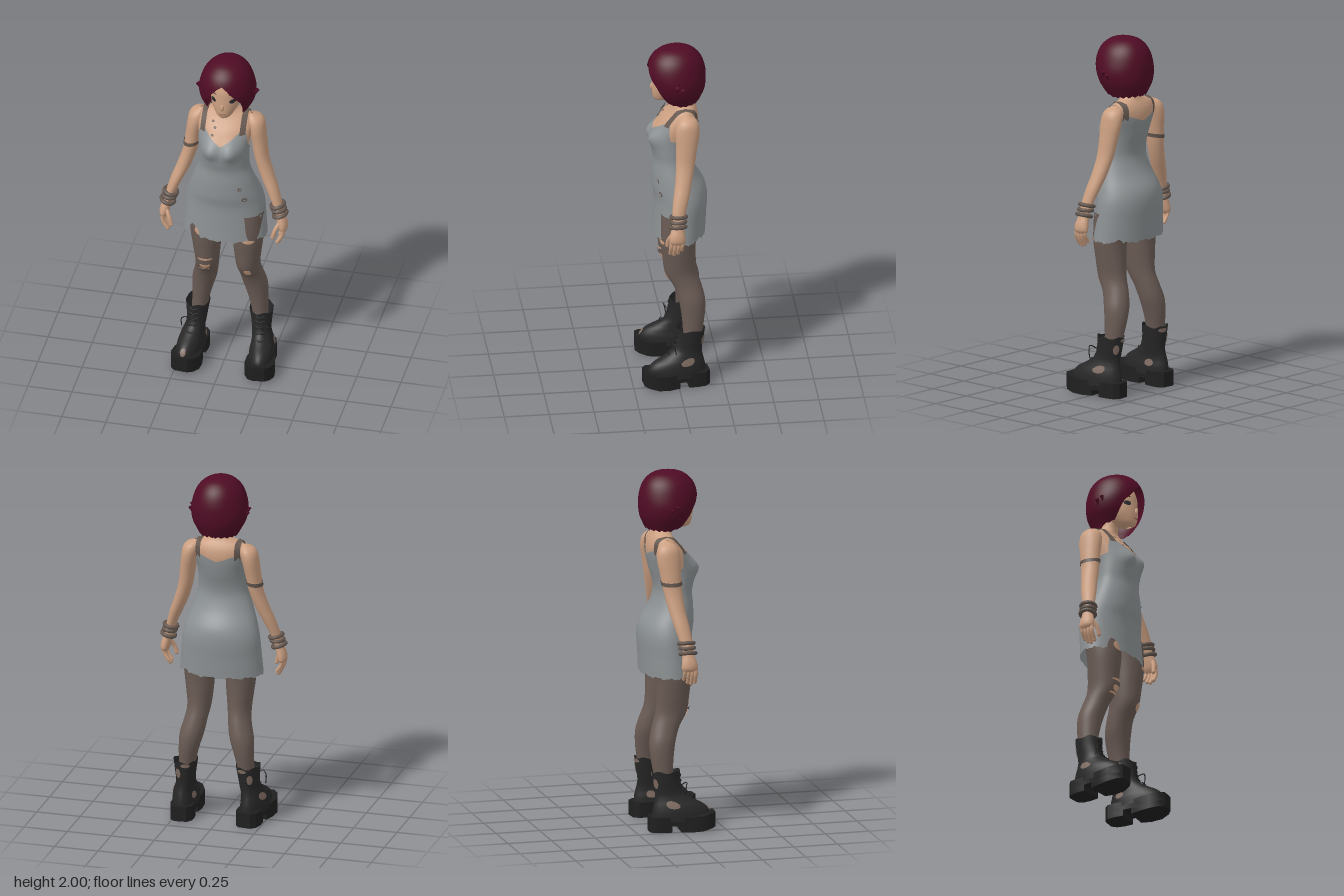
import * as THREE from 'three';
import { mergeVertices, toCreasedNormals } from 'three/addons/utils/BufferGeometryUtils.js';

const mat = (name, color, double) => {
  const m = new THREE.MeshStandardMaterial({ color });
  m.name = name;
  if (double) m.side = THREE.DoubleSide;
  return m;
};
const { PI, sin, cos, abs, max, sqrt, exp } = Math;
const rad = PI / 180;

// Smooth lookup in rows of [y, centreX, halfWidth, zFront, zBack], listed top down
function rowAt(rows, y) {
  const n = rows.length;
  if (y >= rows[0][0]) return rows[0];
  if (y <= rows[n - 1][0]) return rows[n - 1];
  let i = 0;
  while (y < rows[i + 1][0]) i++;
  const slope = (k, c) => {
    const a = rows[max(k - 1, 0)], b = rows[Math.min(k + 1, n - 1)];
    return (b[c] - a[c]) / (b[0] - a[0]);
  };
  const a = rows[i], b = rows[i + 1], d = b[0] - a[0], t = (y - a[0]) / d;
  return a.map((v, c) => c === 0 ? y :
    v * (1 + 2 * t) * (1 - t) ** 2 + b[c] * t * t * (3 - 2 * t) +
    d * (slope(i, c) * t * (1 - t) ** 2 - slope(i + 1, c) * t * t * (1 - t)));
}

// Straight-line lookup in [angle, value] pairs
function lerpTable(table, a) {
  for (let i = 1; i < table.length; i++) {
    const [a0, v0] = table[i - 1], [a1, v1] = table[i];
    if (a <= a1) return v0 + (v1 - v0) * (a - a0) / (a1 - a0);
  }
  return table[table.length - 1][1];
}

// Skin of elliptical rings; top and bottom edges may vary with the angle (0 = front, + = left)
function loft(rows, o = {}) {
  const { top = () => rows[0][0], bottom = () => rows[rows.length - 1][0],
    from = -PI, to = PI, segs = 40, steps = 32, grow = 0, ease = 1, warp } = o;
  const pos = [], idx = [];
  for (let j = 0; j <= steps; j++) for (let i = 0; i <= segs; i++) {
    const th = from + (to - from) * i / segs, y0 = top(th);
    const y = y0 + (bottom(th) - y0) * (j / steps) ** ease;
    const [, cx, rx, zf, zb] = rowAt(rows, y);
    const p = [cx + (rx + grow) * sin(th), y, (zf + zb) / 2 + ((zf - zb) / 2 + grow) * cos(th)];
    if (warp) warp(p);
    pos.push(...p);
    if (i < segs && j < steps) {
      const a = j * (segs + 1) + i, c = a + segs + 1;
      idx.push(a, c, a + 1, a + 1, c, c + 1);
    }
  }
  let g = new THREE.BufferGeometry();
  g.setAttribute('position', new THREE.Float32BufferAttribute(pos, 3));
  g.setIndex(idx);
  g = mergeVertices(g, 1e-5);
  g.computeVertexNormals();
  return g;
}

// Small oval lying on a lofted surface
function patch(rows, y, h, deg, w, o = {}) {
  const c = deg * rad, hw = w * rad;
  const half = th => h * sqrt(max(0, 1 - ((th - c) / hw) ** 2));
  return loft(rows, { grow: 0.004, segs: 10, steps: 4, ...o, from: c - hw, to: c + hw,
    top: th => y + half(th), bottom: th => y - half(th) });
}

const TRUNK = [
  [1.75, 0.012, 0.045, 0.03, -0.07], [1.69, 0.008, 0.046, 0.005, -0.09], [1.665, 0.004, 0.056, 0, -0.1],
  [1.65, 0, 0.085, 0, -0.105], [1.635, 0, 0.125, 0.005, -0.115], [1.6, 0, 0.158, 0.03, -0.13],
  [1.55, 0, 0.155, 0.075, -0.135], [1.46, 0, 0.138, 0.122, -0.118], [1.38, 0, 0.136, 0.12, -0.095],
  [1.32, 0, 0.14, 0.11, -0.09], [1.24, 0, 0.165, 0.115, -0.115], [1.15, 0, 0.195, 0.115, -0.165],
  [1.08, 0, 0.212, 0.105, -0.178], [0.97, 0, 0.222, 0.108, -0.172], [0.85, 0, 0.232, 0.115, -0.165]];
const HEAD = [
  [1.96, 0.015, 0.02, 0, -0.05], [1.92, 0.015, 0.075, 0.08, -0.1], [1.86, 0.015, 0.092, 0.112, -0.11],
  [1.8, 0.015, 0.089, 0.12, -0.1], [1.75, 0.015, 0.077, 0.123, -0.07], [1.71, 0.015, 0.056, 0.121, -0.03],
  [1.685, 0.015, 0.035, 0.112, 0.02], [1.672, 0.015, 0.006, 0.09, 0.06]];
const HAIR = [
  [2, 0.015, 0.002, -0.015, -0.02], [1.992, 0.015, 0.05, 0.045, -0.075], [1.97, 0.015, 0.092, 0.092, -0.118],
  [1.93, 0.015, 0.127, 0.13, -0.152], [1.87, 0.015, 0.15, 0.15, -0.172], [1.81, 0.015, 0.159, 0.145, -0.176],
  [1.75, 0.015, 0.148, 0.125, -0.17], [1.7, 0.015, 0.122, 0.095, -0.15], [1.66, 0.015, 0.1, 0.065, -0.13]];
const armRows = s => [
  [1.632, 0.14, 0.008, -0.045, -0.065], [1.618, 0.152, 0.035, -0.02, -0.1], [1.59, 0.163, 0.048, 0, -0.12],
  [1.54, 0.174, 0.047, 0.01, -0.125], [1.46, 0.187, 0.043, 0.008, -0.112], [1.36, 0.203, 0.04, 0.01, -0.095],
  [1.26, 0.235, 0.039, 0.018, -0.075], [1.18, 0.268, 0.035, 0.032, -0.055], [1.1, 0.298, 0.028, 0.042, -0.032],
  [1.03, 0.318, 0.024, 0.045, -0.02], [0.98, 0.332, 0.028, 0.06, -0.026], [0.94, 0.338, 0.022, 0.06, -0.026],
  [0.925, 0.335, 0.006, 0.04, -0.006]].map(([y, x, ...r]) => [y, s * x, ...r]);
const legRows = s => [
  [1.02, 0.11, 0.1, 0.085, -0.14], [0.86, 0.118, 0.087, 0.088, -0.11], [0.75, 0.116, 0.076, 0.077, -0.108],
  [0.65, 0.116, 0.065, 0.062, -0.115], [0.58, 0.126, 0.064, 0.02, -0.137], [0.5, 0.143, 0.067, -0.008, -0.156],
  [0.42, 0.157, 0.057, -0.022, -0.155], [0.33, 0.168, 0.046, -0.03, -0.142], [0.24, 0.175, 0.04, -0.03, -0.13],
].map(([y, x, ...r]) => [y, s * x + 0.013, ...r]);
const bootRows = s => [
  [0.345, -0.014, 0.068, 0.004, -0.155], [0.27, -0.012, 0.058, 0.008, -0.145], [0.21, -0.01, 0.053, 0.03, -0.136],
  [0.175, -0.004, 0.056, 0.08, -0.138], [0.145, 0, 0.063, 0.135, -0.145], [0.11, 0, 0.07, 0.165, -0.152],
  [0.06, 0, 0.071, 0.172, -0.155]].map(([y, x, ...r]) => [y, s * x, ...r]);

// Bust fullness shared by skin and dress
function bust(p) {
  if (p[2] > 0) p[2] += 0.028 * exp(-(((abs(p[0]) - 0.062) / 0.045) ** 2) - ((p[1] - 1.455) / 0.05) ** 2);
}

// Half outline of the boot sole: [half width, z]
const SOLE = [[0.035, -0.172], [0.06, -0.145], [0.067, -0.1], [0.064, -0.05], [0.066, 0], [0.08, 0.06],
  [0.082, 0.12], [0.062, 0.172], [0.035, 0.195]];
function soleSlab(z0, z1, y0, y1) {
  const half = SOLE.filter(p => p[1] >= z0 && p[1] <= z1);
  const pts = [...half.map(([x, z]) => new THREE.Vector2(-x, -z)),
    ...half.reverse().map(([x, z]) => new THREE.Vector2(x, -z))];
  const g = new THREE.ExtrudeGeometry(new THREE.Shape(pts), { depth: y1 - y0, bevelEnabled: false });
  g.rotateX(-PI / 2).translate(0, y0, 0);
  const p = g.attributes.position;
  for (let i = 0; i < p.count; i++) // toe spring
    p.setY(i, p.getY(i) + max(0, p.getZ(i) - 0.1) * 0.2);
  return toCreasedNormals(g, 0.5);
}

export function createModel() {
  const M = {
    skin: mat('skin', 0xcb9f81, true), dress: mat('dressGrey', 0x8c9193, true), hair: mat('hairRed', 0x4f0c24, true),
    tights: mat('tights', 0x6a5b55), boot: mat('bootBlack', 0x272727, true), sole: mat('soleBlack', 0x1f1f20),
    strap: mat('strapBrown', 0x64574f, true), worn: mat('wornBrown', 0x7d6a60, true),
    eye: mat('eyeDark', 0x2b2c30, true), lip: mat('lip', 0xa5735f, true) };
  const model = new THREE.Group();
  const add = (name, g, m, parent = model) => {
    const mesh = new THREE.Mesh(g, m);
    mesh.name = name;
    parent.add(mesh);
    return mesh;
  };
  const tube = (pts, r, seg = 14) =>
    new THREE.TubeGeometry(new THREE.CatmullRomCurve3(pts.map(p => new THREE.Vector3(...p))), seg, r, 8);

  // Head and face
  add('head', loft(HEAD), M.skin);
  const nose = add('nose', new THREE.SphereGeometry(1, 12, 10), M.skin);
  nose.scale.set(0.01, 0.022, 0.014);
  nose.position.set(0.015, 1.758, 0.12);
  for (const s of [-1, 1]) {
    add('eye', patch(HEAD, 1.798, 0.013, s * 37, 13, { grow: 0.003 }), M.eye);
    add('brow', patch(HEAD, 1.838, 0.003, s * 34, 13, { grow: 0.003 }), M.eye);
  }
  add('mouth', patch(HEAD, 1.714, 0.005, 0, 19, { grow: 0.003 }), M.lip);

  // Bob hair, parted in the middle
  const fringe = [[0, 1.908], [12, 1.885], [30, 1.825], [38, 1.8], [47, 1.735], [54, 1.69], [90, 1.672], [180, 1.68]];
  add('hair', loft(HAIR, { segs: 120, steps: 36, ease: 1.8,
    bottom: th => lerpTable(fringe, abs(th) / rad) + 0.005 * sin(th * 20) * sin(th / 2) }), M.hair);
  for (const s of [-1, 1]) for (const [y, z] of [[1.8, 0], [1.785, -0.03]]) {
    const tip = add('hairTip', new THREE.ConeGeometry(0.012, 0.05, 6), M.hair);
    tip.position.set(0.015 + s * 0.156, y, z);
    tip.rotation.z = s * 2.75;
  }

  // Body and dress
  add('neckAndChest', loft(TRUNK, { bottom: () => 1.38, warp: bust }), M.skin);
  const neckline = [[0, 1.49], [20, 1.525], [38, 1.565], [50, 1.565], [75, 1.47], [105, 1.46], [130, 1.56],
    [145, 1.57], [180, 1.535]];
  const hem = th => {
    const d = th / rad, bump = (c, w, h) => h * max(0, 1 - ((d - c) / w) ** 4);
    return 0.866 + 0.004 * sin(th * 13) + 0.003 * sin(th * 31) + bump(-42, 12, 0.062) + bump(50, 7, 0.03) +
      bump(130, 8, 0.02);
  };
  add('dress', loft(TRUNK, { top: th => lerpTable(neckline, abs(th) / rad), bottom: hem, segs: 120, steps: 48,
    grow: 0.006, warp: bust }), M.dress);
  for (const [y, d, h, w] of [[1.21, 36, 0.011, 4], [1.14, 40, 0.014, 5], [1.01, 66, 0.014, 5]]) {
    add('dressHoleRim', patch(TRUNK, y, h, d, w, { grow: 0.009 }), M.strap);
    add('dressHole', patch(TRUNK, y, h * 0.55, d, w * 0.55, { grow: 0.012 }), M.dress);
  }
  for (const [y, d] of [[1.6, -21], [1.575, -15], [1.54, -19]])
    add('chestMark', patch(TRUNK, y, 0.006, d, 3, { grow: 0.003, warp: bust }), M.strap);

  // Shoulder straps follow the trunk from front to back
  const strapYs = [1.54, 1.57, 1.595, 1.612, 1.625, 1.632];
  for (const s of [-1, 1]) {
    const path = [...strapYs.map(y => [y, 1]), [1.641, 0], ...[...strapYs].reverse().map(y => [y, -1])];
    const pos = [], idx = [];
    path.forEach(([y, f], k) => {
      const [, , rx, zf, zb] = rowAt(TRUNK, y);
      for (const x of [0.098, 0.128]) {
        const z = (zf + zb) / 2 + f * ((zf - zb) / 2 + 0.008) * sqrt(max(0, 1 - (x / (rx + 0.008)) ** 2));
        pos.push(s * x, y + 0.006, z);
      }
      if (k) idx.push(2 * k - 2, 2 * k - 1, 2 * k, 2 * k, 2 * k - 1, 2 * k + 1);
    });
    const g = new THREE.BufferGeometry();
    g.setAttribute('position', new THREE.Float32BufferAttribute(pos, 3));
    g.setIndex(idx);
    g.computeVertexNormals();
    add('shoulderStrap', g, M.strap);
  }

  for (const s of [-1, 1]) {
    const side = s > 0 ? 'left' : 'right';

    // Arm, fingers and wristbands
    const arm = armRows(s);
    add(side + 'Arm', loft(arm, { steps: 48, segs: 28 }), M.skin);
    for (let k = 0; k < 4; k++) {
      const z = 0.049 - k * 0.021, len = [0.078, 0.088, 0.08, 0.062][k], r = 0.0115 - k * 0.0007;
      const end = [s * 0.312, 0.945 - len, z + 0.004];
      add(side + 'Finger', tube([[s * 0.338, 0.955, z], [s * 0.338, 0.955 - len * 0.5, z + 0.003], end], r), M.skin);
      add(side + 'Fingertip', new THREE.SphereGeometry(r, 10, 8).translate(...end), M.skin);
    }
    const thumb = [s * 0.288, 0.905, 0.068];
    add(side + 'Thumb', tube([[s * 0.322, 0.99, 0.04], [s * 0.3, 0.945, 0.062], thumb], 0.012), M.skin);
    add(side + 'ThumbTip', new THREE.SphereGeometry(0.012, 10, 8).translate(...thumb), M.skin);
    for (const [y, r, tilt] of [[1.085, 0.036, 0.25], [1.06, 0.034, 0.1], [1.03, 0.037, 0.3]]) {
      const [, x, , zf, zb] = rowAt(arm, y);
      const band = add(side + 'Wristband', new THREE.TorusGeometry(r, 0.011, 8, 28).rotateX(PI / 2), M.strap);
      band.position.set(x, y, (zf + zb) / 2);
      band.rotation.z = s * tilt;
      band.scale.z = 1.12;
    }
    if (s < 0) add('armBand', loft(arm, { top: th => 1.418 + 0.006 * sin(th), bottom: th => 1.396 + 0.006 * sin(th),
      steps: 2, grow: 0.004 }), M.strap);

    // Leg with torn tights
    const leg = legRows(s);
    add(side + 'Leg', loft(leg), M.tights);
    const tears = s < 0 ? [[0.9, 0.03, -5, 26], [0.7, 0.007, 5, 38], [0.655, 0.02, 5, 26], [0.625, 0.006, 0, 30]]
      : [[0.86, 0.012, 15, 22], [0.635, 0.022, 10, 18]];
    for (const [y, h, d, w] of tears) add(side + 'TightsTear', patch(leg, y, h, d, w), M.skin);
    if (s < 0) add('kneeFlap', patch(leg, 0.677, 0.012, 0, 42, { grow: 0.009 }), M.tights);

    // Boot
    const boot = new THREE.Group(), rows = bootRows(s);
    boot.name = side + 'Boot';
    boot.position.x = s * 0.2 + 0.014;
    boot.rotation.y = s * 0.09;
    model.add(boot);
    add('bootUpper', loft(rows, { top: th => 0.337 + 0.006 * sin(th * 5) }), M.boot, boot);
    add('welt', soleSlab(-1, 1, 0.035, 0.085), M.sole, boot);
    add('heel', soleSlab(-1, -0.05, 0, 0.036), M.sole, boot);
    add('tread', soleSlab(0, 1, 0, 0.036), M.sole, boot);
    for (const [y, h, d, w] of [[0.155, 0.022, s * 105, 17], [0.27, 0.028, s * 150, 16], [0.32, 0.012, s * 190, 24],
      [0.13, 0.02, -s * 120, 12]]) add('wornPatch', patch(rows, y, h, d, w), M.worn, boot);
    if (s < 0) add('toePatch', patch(rows, 0.12, 0.02, 0, 14), M.worn, boot);
    for (let k = 0; k < 5; k++) {
      const y = 0.19 + k * 0.03, [, x, , zf] = rowAt(rows, y);
      for (const c of [-1, 1])
        add('lace', tube([[x - 0.024, y - c * 0.008, zf - 0.006], [x, y, zf + 0.004],
          [x + 0.024, y + c * 0.008, zf - 0.006]], 0.003, 6), M.sole, boot);
    }
    add('laceLoop', tube([[0, 0.255, 0.012], [s * 0.03, 0.275, 0.035], [s * 0.05, 0.255, 0.03],
      [s * 0.052, 0.205, 0.02]], 0.003), M.sole, boot);
  }
  return model;
}
